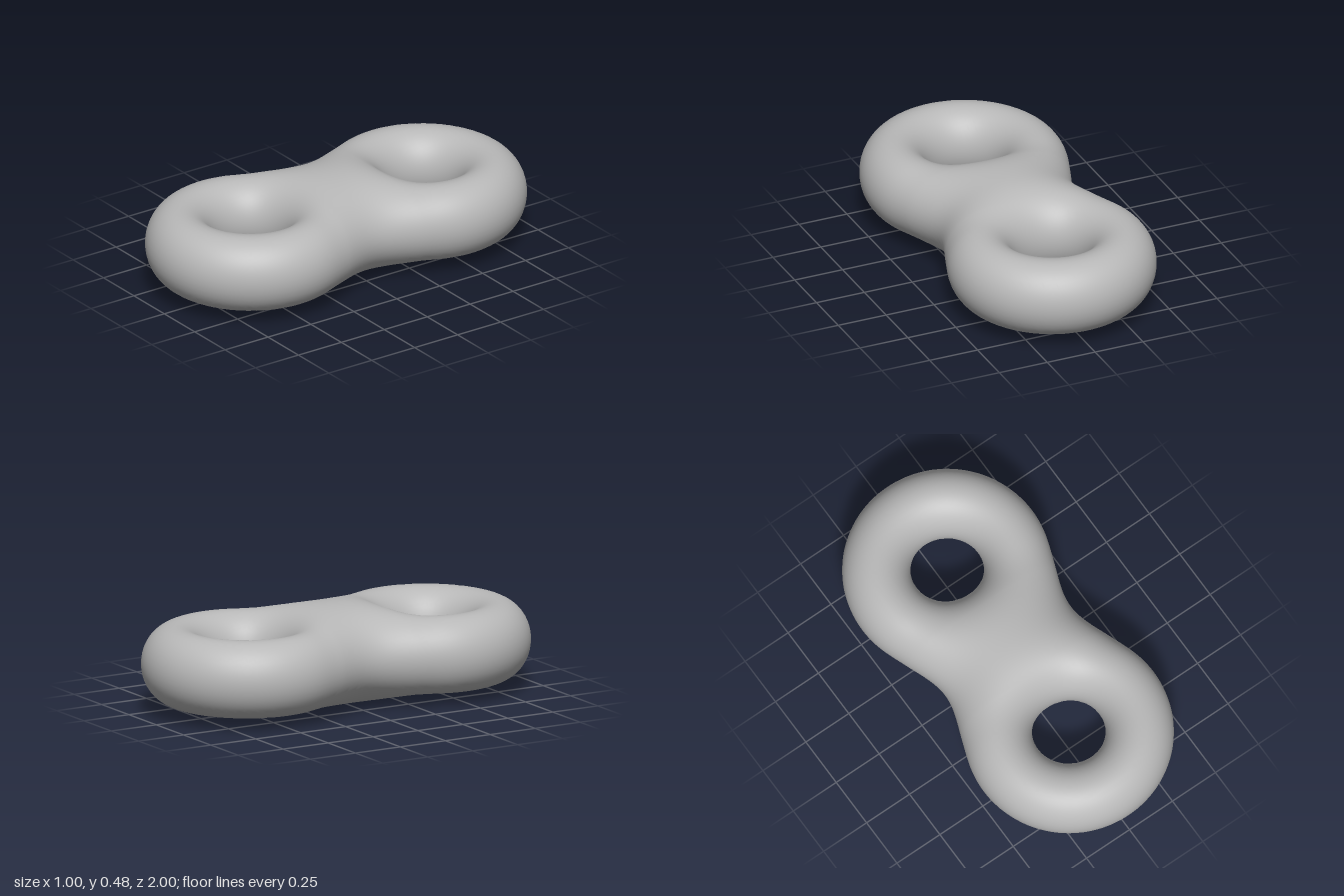
import * as THREE from 'three';

const RING = 0.3375, TUBE = 0.1625, HALF_H = 0.1875, MID_Y = 0.24, OFFSET = 0.5;
const CELL = 0.03, EPS = 1e-3;

// Approximate distance to one upright-oval-tubed ring centred at z = cz
function ring(x, y, z, cz) {
  const q = Math.hypot(x, z - cz) - RING;
  return Math.hypot(q * HALF_H / TUBE, y) - HALF_H;
}

// Two rings smoothly fused at the waist
function field(x, y, z) {
  const a = ring(x, y, z, OFFSET), b = ring(x, y, z, -OFFSET);
  const k = 0.564 - 0.096 * Math.min(1, (y / MID_Y) ** 2);
  const h = Math.max(0, k - Math.abs(a - b));
  const local = 1 - THREE.MathUtils.smoothstep(Math.abs(z), 0.2, 0.45);
  return Math.min(a, b) - local * h * h / (4 * k);
}

function gradient([x, y, z]) {
  return [
    field(x + EPS, y, z) - field(x - EPS, y, z),
    field(x, y + EPS, z) - field(x, y - EPS, z),
    field(x, y, z + EPS) - field(x, y, z - EPS),
  ].map((d) => d / (2 * EPS));
}

// Quad skin over the fused field, one vertex per grid cell it passes through
function skinGeometry() {
  const positions = [], normals = [], indices = [], cells = new Map();
  const half = [19, 10, 36];
  const value = (n) => field(n[0] * CELL, n[1] * CELL, n[2] * CELL);

  const vertex = (cell) => {
    const key = cell.join();
    if (!cells.has(key)) {
      let p = cell.map((c) => (c + 0.5) * CELL);
      // slide the cell centre onto the surface
      for (let s = 0; s < 5; s++) {
        const g = gradient(p), f = field(...p);
        const len2 = g[0] ** 2 + g[1] ** 2 + g[2] ** 2 || 1;
        p = p.map((v, i) => v - f * g[i] / len2);
      }
      const n = new THREE.Vector3(...gradient(p)).normalize();
      cells.set(key, positions.length / 3);
      positions.push(p[0], p[1] + MID_Y, p[2]);
      normals.push(n.x, n.y, n.z);
    }
    return cells.get(key);
  };

  for (let i = -half[0]; i < half[0]; i++)
    for (let j = -half[1]; j < half[1]; j++)
      for (let k = -half[2]; k < half[2]; k++) {
        const node = [i, j, k], inside = value(node) < 0;
        for (let axis = 0; axis < 3; axis++) {
          const next = [...node];
          next[axis]++;
          if (value(next) < 0 === inside) continue;
          // four cells around the crossed edge, counter-clockwise about it
          const [a, b, c, d] = [[0, 0], [1, 0], [1, 1], [0, 1]].map(([u, v]) => {
            const cell = [...node];
            cell[(axis + 1) % 3] -= u;
            cell[(axis + 2) % 3] -= v;
            return vertex(cell);
          });
          if (inside) indices.push(a, b, c, a, c, d);
          else indices.push(a, c, b, a, d, c);
        }
      }

  const geometry = new THREE.BufferGeometry();
  geometry.setAttribute('position', new THREE.Float32BufferAttribute(positions, 3));
  geometry.setAttribute('normal', new THREE.Float32BufferAttribute(normals, 3));
  geometry.setIndex(indices);
  return geometry;
}

export function createModel() {
  const grey = new THREE.MeshStandardMaterial({ color: 0xb8b8b8 });
  grey.name = 'grey';
  const body = new THREE.Mesh(skinGeometry(), grey);
  body.name = 'doubleRing';
  const model = new THREE.Group();
  model.name = 'doubleTorus';
  model.add(body);
  return model;
}
